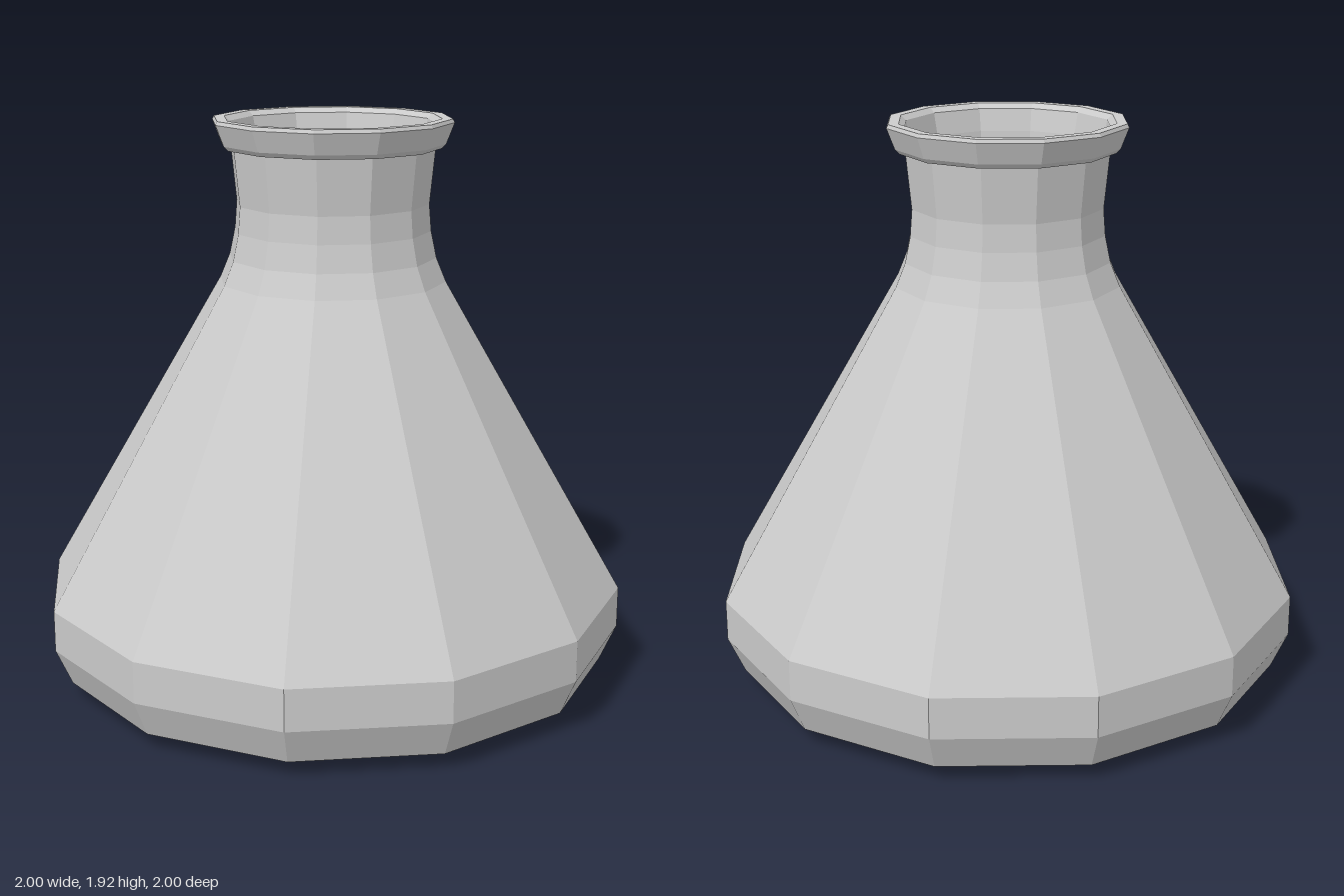
import * as THREE from 'three';

const SIDES = 12;

// Faceted ring of revolution; each profile runs bottom to top on the outside.
function turned(name, profile) {
  const points = profile.map(([r, y]) => new THREE.Vector2(r, y));
  const material = new THREE.MeshStandardMaterial({ color: 0xcccccc, flatShading: true });
  const mesh = new THREE.Mesh(new THREE.LatheGeometry(points, SIDES), material);
  mesh.name = name;
  return mesh;
}

export function createModel() {
  const group = new THREE.Group();
  group.name = 'flask';

  // Body: bevelled foot, short upright band, long cone and curved neck
  const outer = [
    [0.81, 0], [0.945, 0.055], [1, 0.18], [1, 0.32],
    [0.385, 1.38], [0.352, 1.46], [0.333, 1.55], [0.326, 1.64], [0.345, 1.83],
  ];
  // Hollow inside: the same profile moved inward by the wall thickness
  const wall = 0.015;
  const inner = outer.map(([r, y], i) => [r - wall, i === 0 ? y + wall : y]).reverse();
  group.add(turned('body', [[0, 0], ...outer]));
  group.add(turned('innerWall', [...inner, [0, wall]]));

  // Lip: flared collar around the mouth with softened edges
  group.add(turned('lip', [
    [0.33, 1.825], [0.365, 1.825], [0.379, 1.84], [0.406, 1.91], [0.4, 1.922],
    [0.365, 1.922], [0.347, 1.905], [0.33, 1.825],
  ]));

  return group;
}
